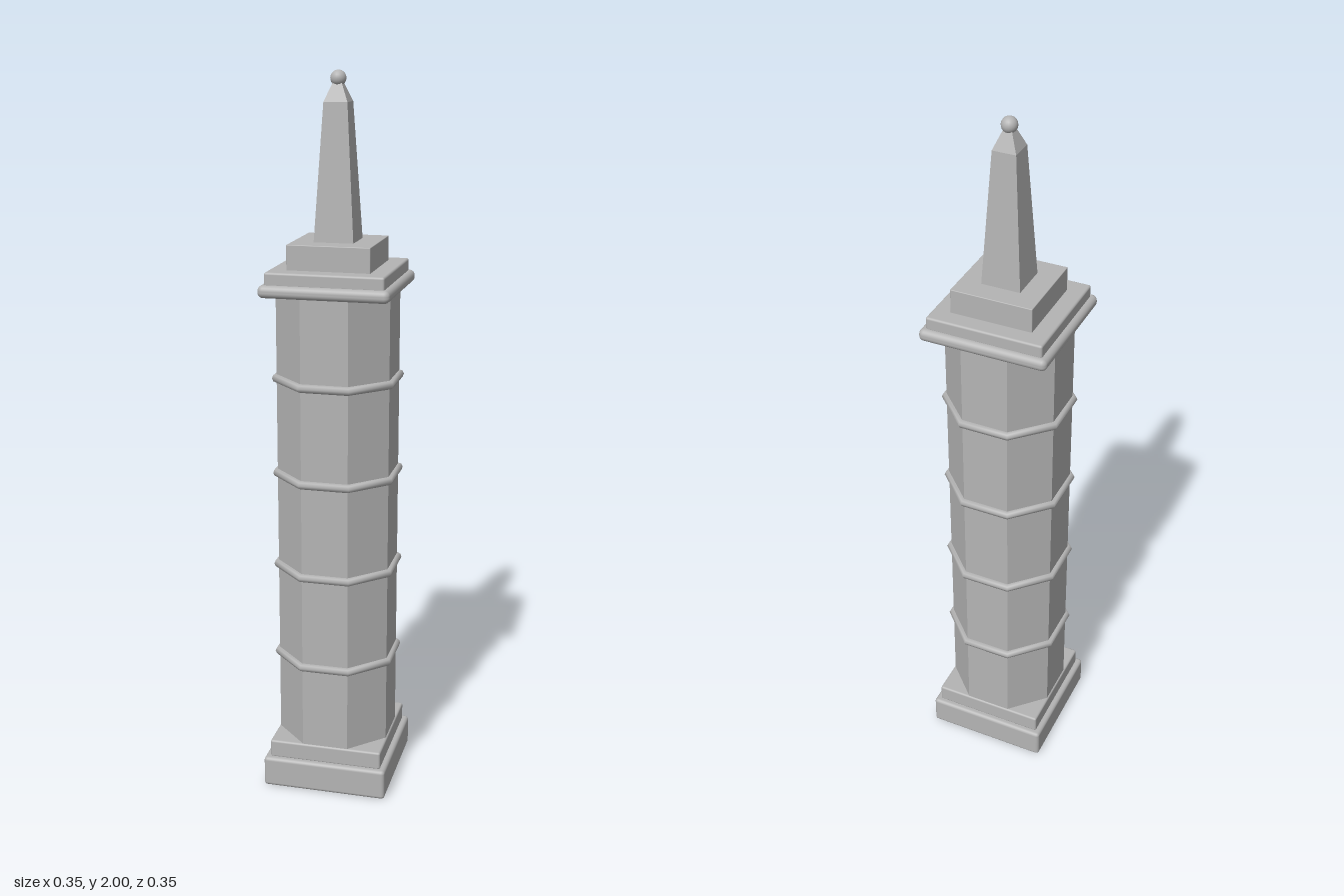
import * as THREE from 'three';
import { RoundedBoxGeometry } from 'three/addons/geometries/RoundedBoxGeometry.js';

export function createModel() {
  const group = new THREE.Group();
  const stone = new THREE.MeshStandardMaterial({ name: 'greyStone', color: 0xb4b4b4 });

  const add = (name, geometry, y = 0) => {
    const mesh = new THREE.Mesh(geometry, stone);
    mesh.name = name;
    mesh.position.y = y;
    group.add(mesh);
    return mesh;
  };

  // Square slab with softened edges, from y0 to y1
  const slab = (name, half, y0, y1, radius) =>
    add(name, new RoundedBoxGeometry(half * 2, y1 - y0, half * 2, 3, radius), (y0 + y1) / 2);

  // Flat-faced frustum with a side facing the front
  const frustum = (name, sides, topHalf, bottomHalf, y0, y1) => {
    const k = 1 / Math.cos(Math.PI / sides);
    const g = new THREE.CylinderGeometry(topHalf * k, bottomHalf * k, y1 - y0, sides);
    g.rotateY(Math.PI / sides);
    const flat = g.toNonIndexed();
    flat.computeVertexNormals();
    return add(name, flat, (y0 + y1) / 2);
  };

  // Stepped base
  slab('base', 0.177, 0, 0.088, 0.01);
  slab('plinth', 0.161, 0.085, 0.137, 0.006);

  // Eight-sided shaft
  frustum('shaft', 8, 0.157, 0.157, 0.13, 1.44);

  // Rounded bands around the shaft
  for (let i = 0; i < 4; i++) {
    const ring = new THREE.TorusGeometry(0.171, 0.012, 8, 8);
    ring.rotateX(Math.PI / 2);
    ring.rotateY(Math.PI / 8);
    add('shaftBand' + (i + 1), ring, 0.377 + i * 0.27);
  }

  // Stepped capital
  slab('capitalMoulding', 0.177, 1.426, 1.46, 0.015);
  slab('capitalSlab', 0.161, 1.455, 1.493, 0.006);
  slab('obeliskPedestal', 0.113, 1.488, 1.56, 0.002);

  // Obelisk with its pointed cap and ball
  frustum('obelisk', 4, 0.032, 0.054, 1.558, 1.92);
  frustum('obeliskCap', 4, 0.011, 0.032, 1.92, 1.97);
  add('finialBall', new THREE.SphereGeometry(0.021, 20, 14), 1.979);

  return group;
}
